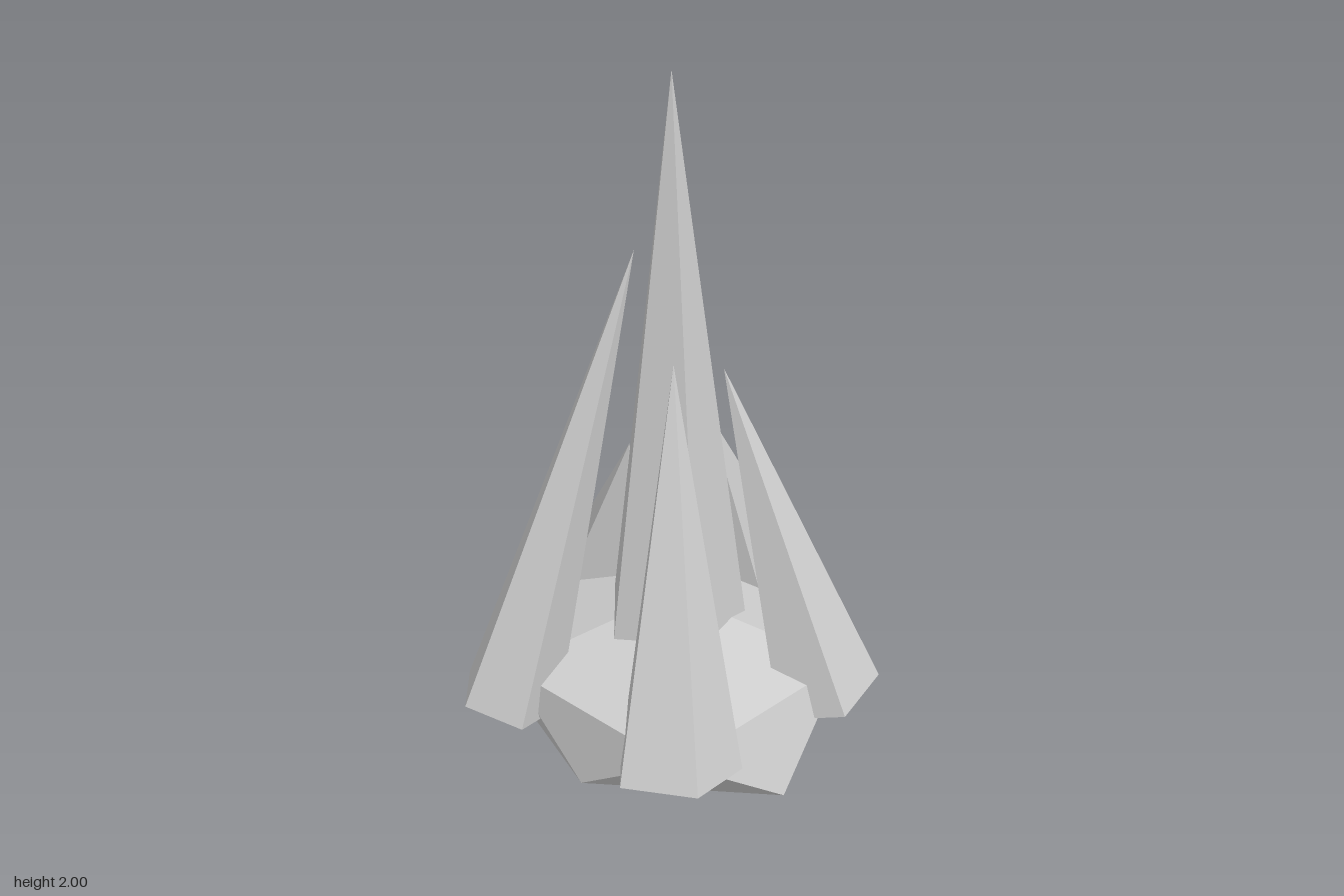
import * as THREE from 'three';

const STEP = Math.PI * 2 / 5;

// Ring of five points around the rock's axis
function ring(radii, heights, start) {
  return radii.map((r, i) => {
    const a = start + i * STEP;
    return new THREE.Vector3(-0.02 + r * Math.cos(a), heights[i], r * Math.sin(a));
  });
}

// Rock: an uneven, squashed icosahedron standing on one point
function rockGeometry() {
  const top = new THREE.Vector3(-0.02, 0.51, 0);
  const bottom = new THREE.Vector3(-0.02, 0, 0);
  const upper = ring([0.48, 0.54, 0.47, 0.565, 0.52], [0.375, 0.375, 0.375, 0.375, 0.375], 0);
  const lower = ring([0.49, 0.43, 0.54, 0.43, 0.49], [0.13, 0.14, 0.12, 0.14, 0.13], STEP / 2);
  const points = [];
  for (let i = 0; i < 5; i++) {
    const j = (i + 1) % 5;
    points.push(
      top, upper[j], upper[i],
      upper[i], upper[j], lower[i],
      upper[j], lower[j], lower[i],
      bottom, lower[i], lower[j]
    );
  }
  const geometry = new THREE.BufferGeometry().setFromPoints(points);
  geometry.computeVertexNormals();
  return geometry;
}

// Five-sided spike from a base centre to its tip
function crystal(name, base, tip, radius, material) {
  const from = new THREE.Vector3(...base);
  const axis = new THREE.Vector3(...tip).sub(from);
  const height = axis.length();
  const geometry = new THREE.ConeGeometry(radius, height, 5, 1, false, Math.PI);
  geometry.translate(0, height / 2, 0);
  const mesh = new THREE.Mesh(geometry, material);
  mesh.name = name;
  mesh.position.copy(from);
  mesh.quaternion.setFromUnitVectors(new THREE.Vector3(0, 1, 0), axis.normalize());
  return mesh;
}

export function createModel() {
  const group = new THREE.Group();
  group.name = 'crystalCluster';

  const stone = new THREE.MeshStandardMaterial({ color: 0xcccccc, flatShading: true });
  stone.name = 'paleStone';

  const rock = new THREE.Mesh(rockGeometry(), stone);
  rock.name = 'rockBase';
  group.add(rock);

  // Central spire and the leaning crystals around it
  const crystals = [
    ['centralSpire', [-0.02, 0.38, 0], [-0.02, 2, 0], 0.208],
    ['frontRightCrystal', [-0.405, 0.272, 0.28], [-0.10, 1.56, 0.05], 0.142],
    ['frontCrystal', [0.115, 0.275, 0.425], [0.02, 1.30, 0.12], 0.175],
    ['leftCrystal', [0.41, 0.275, 0], [0.115, 1.24, 0], 0.16],
    ['backCrystal', [0.10, 0.27, -0.375], [0.03, 1.0, -0.165], 0.197],
    ['smallBackRightCrystal', [-0.32, 0.27, -0.235], [-0.175, 0.9, -0.11], 0.168],
  ];
  for (const [name, base, tip, radius] of crystals) {
    group.add(crystal(name, base, tip, radius, stone));
  }
  return group;
}
